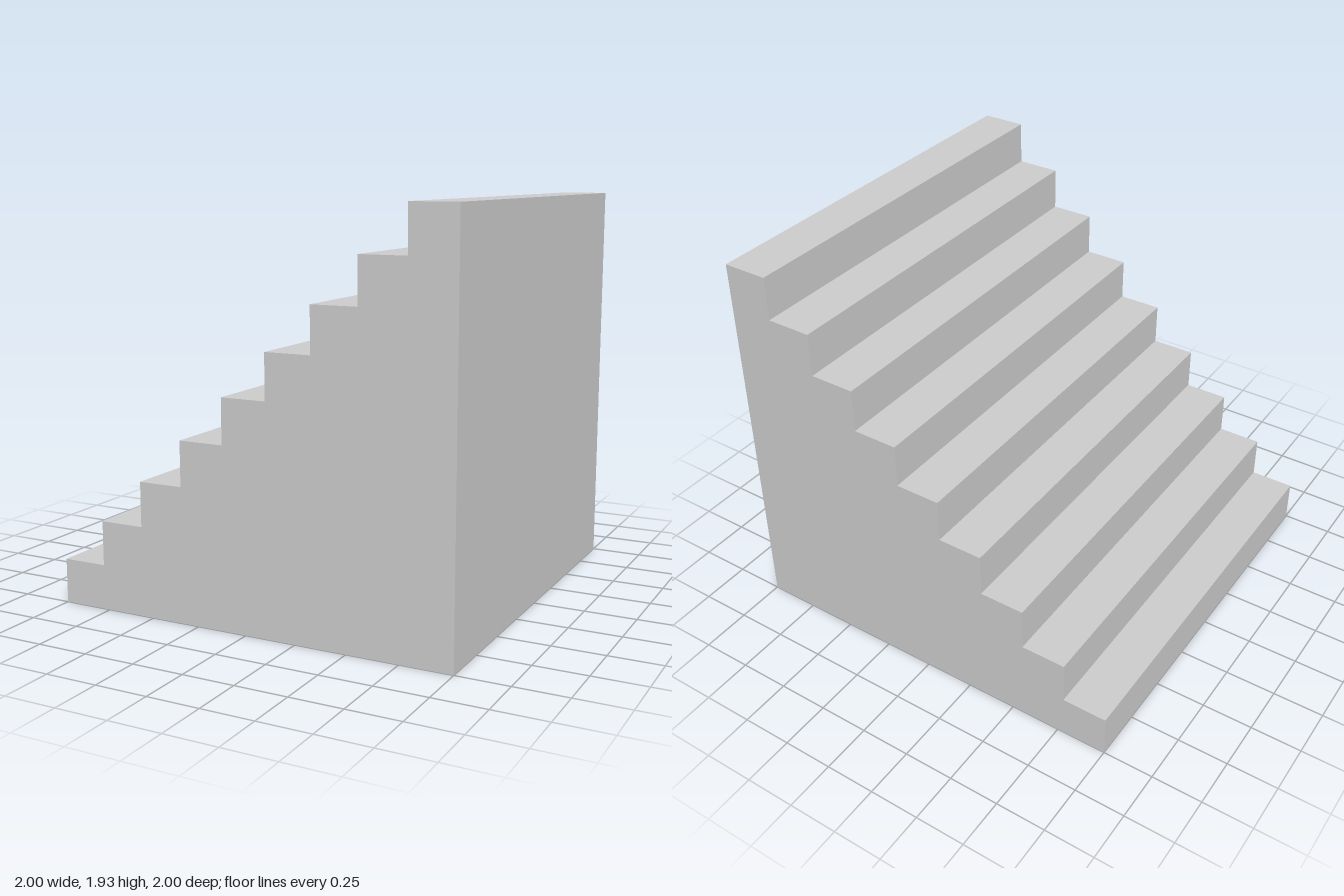
import * as THREE from 'three';

const STEPS = 9;
const RUN = 2 / STEPS;     // tread depth
const RISE = 0.2142;       // riser height
const WIDTH = 2;
const TOP = STEPS * RISE;

export function createModel() {
  const group = new THREE.Group();
  group.name = 'staircase';
  const material = new THREE.MeshStandardMaterial({
    color: 0xcccccc, flatShading: true, side: THREE.DoubleSide,
  });

  const add = (name, geometry, x = 0, y = 0, z = 0) => {
    const mesh = new THREE.Mesh(geometry, material);
    mesh.name = name;
    mesh.position.set(x, y, z);
    group.add(mesh);
  };

  // Stepped side outline; dir = -1 mirrors it for the back wall
  const sideShape = (dir) => {
    const points = [new THREE.Vector2(dir, 0), new THREE.Vector2(-dir, 0)];
    for (let i = 0; i < STEPS; i++) {
      const y = (i + 1) * RISE;
      points.push(new THREE.Vector2(dir * (-1 + i * RUN), y));
      points.push(new THREE.Vector2(dir * (-1 + (i + 1) * RUN), y));
    }
    return new THREE.Shape(points);
  };

  // Thin side walls, each facing outwards
  add('frontWall', new THREE.ShapeGeometry(sideShape(1)), 0, 0, WIDTH / 2);
  add('backWall', new THREE.ShapeGeometry(sideShape(-1)).rotateY(Math.PI), 0, 0, -WIDTH / 2);

  // Risers and treads form a thin folded sheet, open underneath
  const riser = new THREE.PlaneGeometry(WIDTH, RISE).rotateY(-Math.PI / 2);
  const tread = new THREE.PlaneGeometry(RUN, WIDTH).rotateX(-Math.PI / 2);
  for (let i = 0; i < STEPS; i++) {
    const x = -1 + i * RUN;
    add(`riser${i + 1}`, riser, x, (i + 0.5) * RISE);
    add(`tread${i + 1}`, tread, x + RUN / 2, (i + 1) * RISE);
  }

  // Tall wall at the high end
  add('endWall', new THREE.PlaneGeometry(WIDTH, TOP).rotateY(Math.PI / 2), 1, TOP / 2);

  return group;
}
